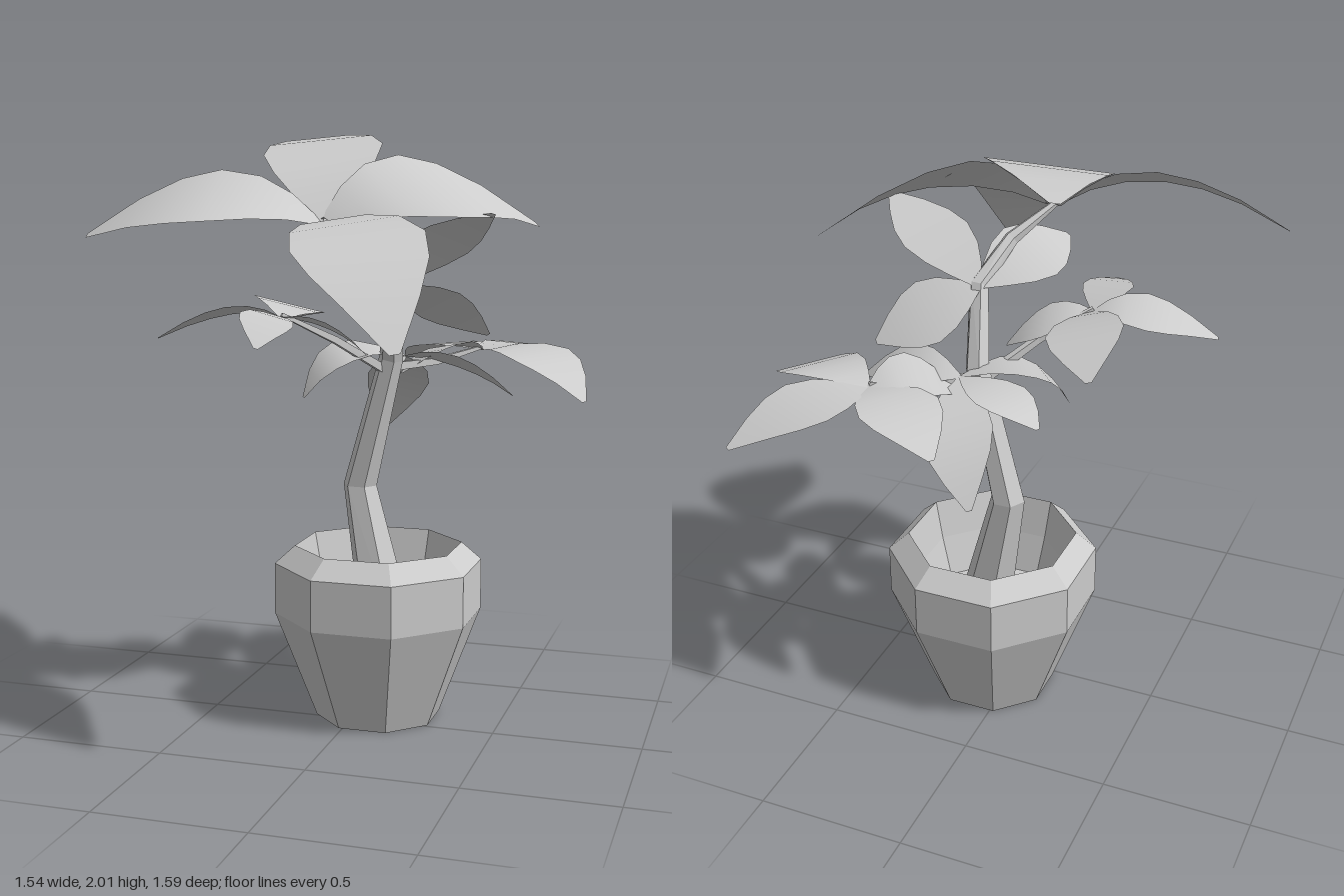
import * as THREE from 'three';

const V = (a) => new THREE.Vector3(...a);

export function createModel() {
  const plant = new THREE.Group();
  plant.name = 'pottedPlant';
  const flat = new THREE.MeshStandardMaterial({ color: 0xcccccc, flatShading: true, side: THREE.DoubleSide });
  const leafMat = new THREE.MeshStandardMaterial({ color: 0xcccccc, side: THREE.DoubleSide });

  const add = (geometry, name, material, parent = plant) => {
    const mesh = new THREE.Mesh(geometry, material);
    mesh.name = name;
    parent.add(mesh);
    return mesh;
  };

  // Build an indexed surface from rows of points with equal counts
  const loft = (rows) => {
    const n = rows[0].length, pos = [], index = [];
    rows.forEach((row) => row.forEach((p) => pos.push(p.x, p.y, p.z)));
    for (let r = 0; r < rows.length - 1; r++) {
      for (let i = 0; i < n - 1; i++) {
        const a = r * n + i;
        index.push(a, a + 1, a + n, a + 1, a + n + 1, a + n);
      }
    }
    const g = new THREE.BufferGeometry();
    g.setAttribute('position', new THREE.Float32BufferAttribute(pos, 3));
    g.setIndex(index);
    g.computeVertexNormals();
    return g;
  };

  // Octagonal pot, with a bevelled rim and a hollow inside down to the soil
  const profile = [[0, 0], [0.216, 0], [0.36, 0.37], [0.36, 0.545], [0.29, 0.607],
    [0.26, 0.47], [0.22, 0.33], [0, 0.33]].map(([r, y]) => new THREE.Vector2(r, y));
  add(new THREE.LatheGeometry(profile, 8, Math.PI / 8), 'pot', flat).position.set(0.07, 0, -0.095);

  // Stems: rings of a few sides joined along [x, y, z, radius] points
  const stem = (name, points, sides) => {
    const centres = points.map(V);
    const rows = points.map((p, i) => {
      const dir = centres[Math.min(i + 1, centres.length - 1)].clone()
        .sub(centres[Math.max(i - 1, 0)]).normalize();
      const turn = new THREE.Quaternion().setFromUnitVectors(new THREE.Vector3(0, 1, 0), dir);
      return Array.from({ length: sides + 1 }, (_, k) => {
        const a = -k / sides * Math.PI * 2;
        return new THREE.Vector3(Math.cos(a) * p[3], 0, Math.sin(a) * p[3])
          .applyQuaternion(turn).add(centres[i]);
      });
    });
    add(loft(rows), name, flat);
  };
  stem('trunk', [[0.09, 0.32, -0.12, 0.095], [-0.015, 0.8, -0.155, 0.06], [0.105, 1.25, -0.12, 0.042],
    [0.14, 1.5, -0.02, 0.033], [0.08, 1.62, 0.11, 0.025], [-0.03, 1.72, 0.22, 0.012]], 6);
  stem('leftBranch', [[0.1, 1.22, -0.12, 0.02], [0.23, 1.23, -0.26, 0.016], [0.36, 1.27, -0.39, 0.008]], 4);
  stem('rightBranch', [[0.1, 1.2, -0.12, 0.02], [-0.05, 1.32, 0.02, 0.016], [-0.2, 1.41, 0.13, 0.008]], 4);
  stem('lowerBranch', [[0.09, 1.15, -0.13, 0.018], [0.13, 1.25, -0.2, 0.008]], 4);

  // Leaf: arched midrib through base, middle and tip; side is the half width at the middle
  const shape = [[0, 0.08], [0.16, 0.5], [0.32, 0.83], [0.5, 1], [0.66, 0.87], [0.82, 0.55], [1, 0.08]];
  const leaf = (base, mid, tip, side, name, parent) => {
    const b = V(base), t = V(tip);
    const control = V(mid).multiplyScalar(2).addScaledVector(b, -0.5).addScaledVector(t, -0.5);
    const rib = new THREE.QuadraticBezierCurve3(b, control, t);
    const s = V(side);
    const rows = shape.map(([u, w]) => [w, 0, -w].map((k) => rib.getPoint(u).addScaledVector(s, k)));
    add(loft(rows), name, leafMat, parent);
  };

  // Leaf clusters: shared base, then [middle, tip, side] for each leaf
  const clusters = {
    crownLeaves: [[-0.03, 1.71, 0.22], [
      [[0.27, 1.83, 0.05], [0.57, 1.70, -0.29], [0.13, -0.1, 0.12]],
      [[0.18, 1.665, 0.52], [0.37, 1.36, 0.79], [0.18, 0.03, -0.1]],
      [[-0.12, 1.95, -0.07], [-0.29, 1.985, -0.46], [0.19, 0.02, -0.06]],
      [[-0.34, 1.8, 0.37], [-0.77, 1.67, 0.39], [0.04, -0.08, 0.18]],
    ]],
    upperLeaves: [[0.13, 1.5, -0.04], [
      [[0.3, 1.64, 0.0], [0.49, 1.74, 0.06], [-0.08, 0.03, 0.07]],
      [[0.02, 1.58, 0.12], [-0.05, 1.59, 0.29], [0.11, 0.05, 0.04]],
      [[0.27, 1.43, -0.14], [0.42, 1.33, -0.22], [0.09, 0.05, 0.1]],
    ]],
    rightLeaves: [[-0.2, 1.4, 0.13], [
      [[-0.38, 1.42, 0.15], [-0.6, 1.33, 0.23], [0.03, 0.02, 0.1]],
      [[-0.18, 1.41, 0.33], [-0.13, 1.34, 0.56], [0.1, -0.02, 0.03]],
      [[-0.25, 1.43, -0.09], [-0.34, 1.36, -0.29], [0.12, -0.03, -0.03]],
      [[-0.06, 1.37, 0.07], [0.07, 1.27, 0.04], [0.02, 0.02, 0.09]],
    ]],
    leftLeaves: [[0.36, 1.26, -0.4], [
      [[0.48, 1.27, -0.58], [0.64, 1.18, -0.79], [0.12, 0.0, 0.08]],
      [[0.2, 1.27, -0.5], [0.02, 1.2, -0.65], [0.08, 0.0, -0.11]],
      [[0.59, 1.26, -0.3], [0.76, 1.12, -0.16], [0.07, 0.01, -0.13]],
      [[0.25, 1.28, -0.29], [0.12, 1.19, -0.2], [0.08, 0.02, 0.09]],
    ]],
    lowerLeaves: [[0.13, 1.25, -0.2], [
      [[0.06, 1.15, -0.38], [-0.03, 0.95, -0.5], [0.1, -0.02, -0.05]],
      [[-0.06, 1.27, -0.09], [-0.17, 1.12, 0.0], [0.07, -0.02, 0.1]],
      [[0.33, 1.24, -0.16], [0.53, 1.14, -0.1], [0.02, 0.03, 0.1]],
      [[-0.05, 1.26, -0.29], [-0.2, 1.2, -0.35], [0.04, 0.01, -0.1]],
    ]],
  };
  for (const [name, [base, leaves]] of Object.entries(clusters)) {
    const cluster = new THREE.Group();
    cluster.name = name;
    plant.add(cluster);
    leaves.forEach(([mid, tip, side], i) => leaf(base, mid, tip, side, `leaf${i + 1}`, cluster));
  }
  return plant;
}
